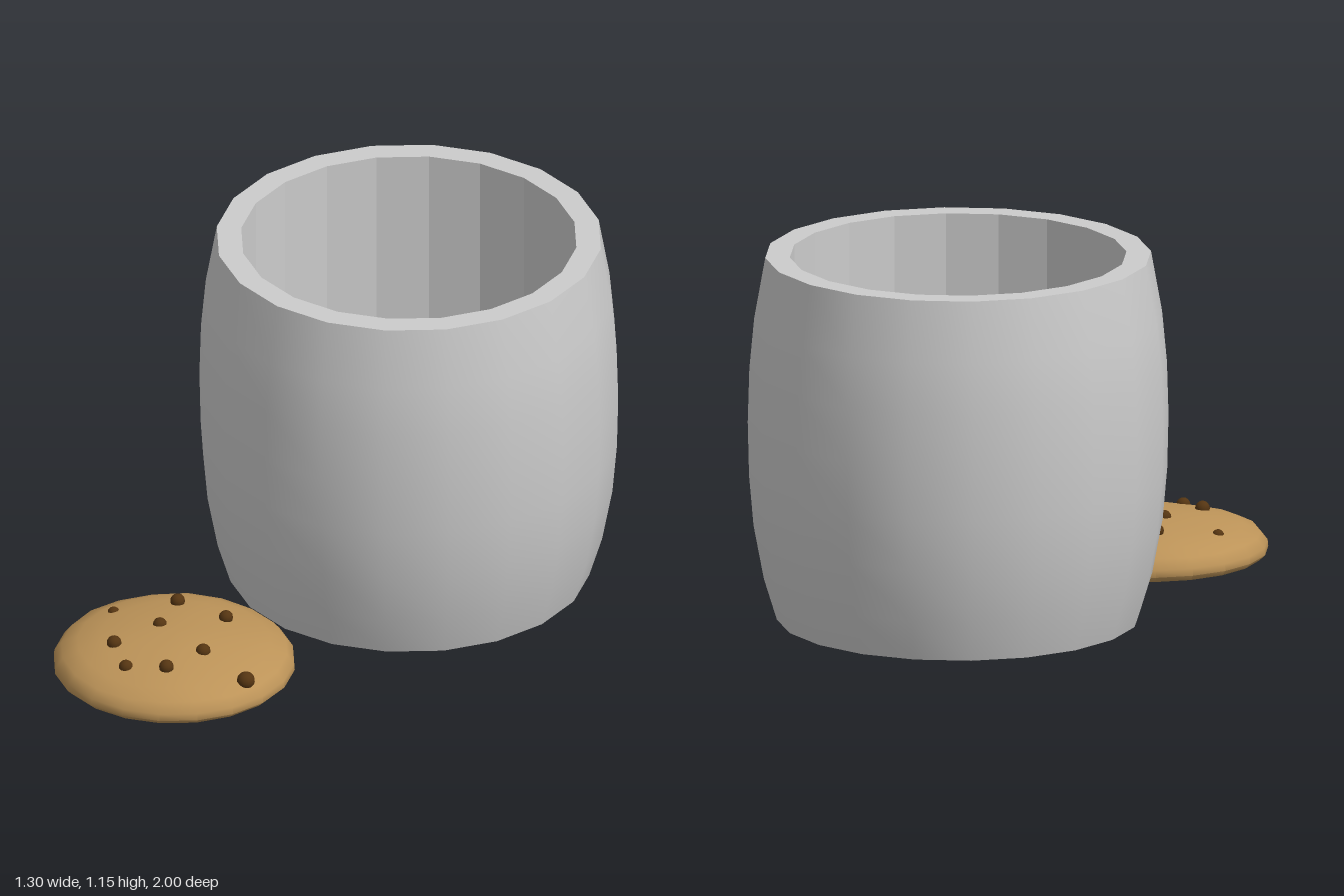
import * as THREE from 'three';
import { toCreasedNormals } from 'three/addons/utils/BufferGeometryUtils.js';

const pts = (list) => list.map(([r, y]) => new THREE.Vector2(r, y));

function part(name, geometry, material) {
  const mesh = new THREE.Mesh(geometry, material);
  mesh.name = name;
  return mesh;
}

// Barrel-shaped open jar with a straight, faceted inside
function makeJar() {
  const jar = new THREE.Group();
  jar.name = 'jar';
  const smooth = new THREE.MeshStandardMaterial({ color: 0xcccccc });
  const flat = new THREE.MeshStandardMaterial({ color: 0xcccccc, flatShading: true });
  const outer = [[0.56, 0], [0.6, 0.13], [0.632, 0.3], [0.646, 0.46], [0.65, 0.63],
    [0.645, 0.8], [0.63, 0.96], [0.596, 1.15]];
  const inner = [[0.596, 1.15], [0.52, 1.15], [0.52, 0.07], [0, 0.07]];
  jar.add(
    part('jarOuterWall', new THREE.LatheGeometry(pts(outer), 20), smooth),
    part('jarRimAndInside', new THREE.LatheGeometry(pts(inner), 20), flat),
    part('jarBase', new THREE.LatheGeometry(pts([[0, 0], [0.56, 0]]), 20), flat),
  );
  jar.position.z = -0.35;
  return jar;
}

// Domed biscuit with a flat base and a slightly uneven top
function cookieGeometry() {
  const profile = [[0, 0], [0.355, 0], [0.374, 0.018], [0.372, 0.04], [0.35, 0.068],
    [0.3, 0.092], [0.23, 0.112], [0.13, 0.127], [0, 0.131]];
  const geo = new THREE.LatheGeometry(pts(profile), 20);
  const pos = geo.attributes.position;
  for (let i = 0; i < pos.count; i++) {
    const x = pos.getX(i), y = pos.getY(i), z = pos.getZ(i);
    if (y > 0.05) pos.setY(i, y + 0.004 * Math.sin(14 * x + 1) * Math.cos(12 * z));
  }
  return toCreasedNormals(geo, 0.9);
}

// Chip centres (x, y, z) and radius on one cookie
const CHIPS = [
  [-0.13, 0.125, -0.155, 0.023], [0.05, 0.125, -0.18, 0.022], [-0.26, 0.095, -0.005, 0.019],
  [-0.065, 0.127, -0.005, 0.022], [0.145, 0.125, 0.025, 0.023], [0.32, 0.085, 0.02, 0.028],
  [-0.095, 0.122, 0.17, 0.023], [0.125, 0.12, 0.17, 0.023], [0.015, 0.105, 0.235, 0.022],
];

// Position, tilt and scale of each cookie
const COOKIES = [
  { name: 'frontCookie', at: [-0.08, 0, 0.625], tilt: [0, 0, 0], scale: 1 },
  { name: 'lowestCookie', at: [-0.14, 0.07, -0.44], tilt: [0, 0, 0], scale: 0.84 },
  { name: 'rightCookie', at: [0.19, 0.18, -0.35], tilt: [0, 0, -0.22], scale: 0.84 },
  { name: 'leftCookie', at: [-0.15, 0.27, -0.215], tilt: [0, 0, 0], scale: 0.84 },
  { name: 'topCookie', at: [-0.085, 0.37, -0.55], tilt: [-0.33, 0.06, 0], scale: 0.85 },
];

export function createModel() {
  const model = new THREE.Group();
  model.name = 'cookieJar';
  model.add(makeJar());

  const dough = new THREE.MeshStandardMaterial({ color: 0xbc9358 });
  const chocolate = new THREE.MeshStandardMaterial({ color: 0x553512 });
  const disc = cookieGeometry();
  const ball = new THREE.SphereGeometry(1, 12, 8);

  for (const { name, at, tilt, scale } of COOKIES) {
    const cookie = new THREE.Group();
    cookie.name = name;
    cookie.add(part('biscuit', disc, dough));
    for (const [x, y, z, r] of CHIPS) {
      const chip = part('chocolateChip', ball, chocolate);
      chip.position.set(x, y, z);
      chip.scale.setScalar(r);
      cookie.add(chip);
    }
    cookie.position.set(...at);
    cookie.rotation.set(...tilt);
    cookie.scale.setScalar(scale);
    model.add(cookie);
  }
  return model;
}
